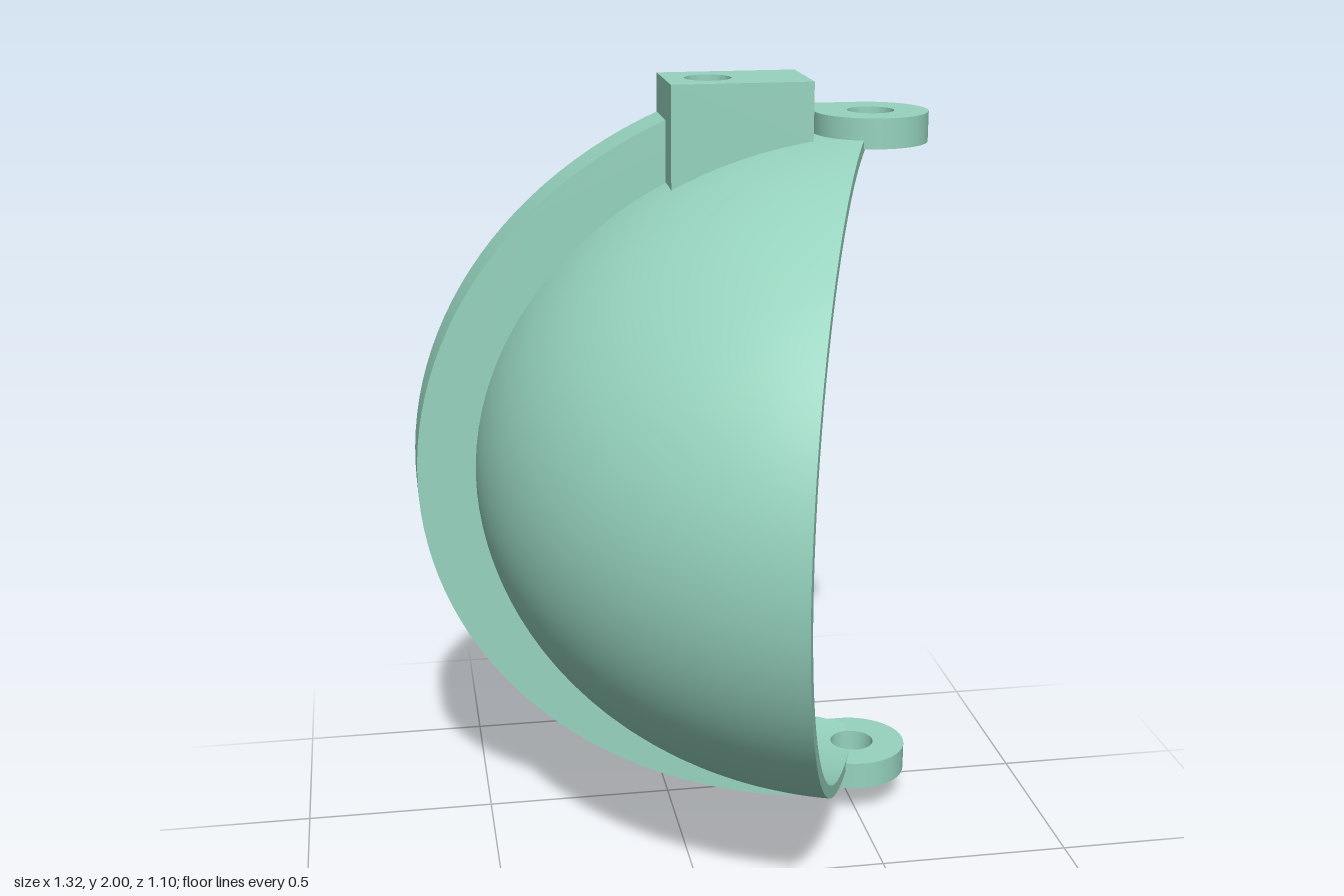
import * as THREE from 'three';
import { toCreasedNormals } from 'three/addons/utils/BufferGeometryUtils.js';

// Pivot axis (vertical), back plane and shell semi-axes
const PX = 0.51, PZ = -0.41, BACK = 0.145, FRONT_ANGLE = THREE.MathUtils.degToRad(70);
const INNER = { r: 0.98, h: 0.84 }, OUTER = { r: 1.02, h: 0.87 };
const HOLE = { x: 0.1, z: -0.435, r: 0.059 };
const ROWS = 60, COLS = 64, POLE = Math.asin(0.06 / INNER.r);
const PATCH = { i0: 5, i1: 9, j0: 5, j1: 19 };

const backAngle = (r) => -Math.asin(Math.min(1, BACK / r));
const theta = (i) => POLE + (Math.PI - 2 * POLE) * i / ROWS;

// Point on an ellipsoid sheet: th from the top pole, t from back plane to front rim
function shellPoint(s, th, t) {
  const r = s.r * Math.sin(th);
  const a = THREE.MathUtils.lerp(backAngle(r), FRONT_ANGLE, t);
  return [PX - r * Math.cos(a), 1 + s.h * Math.cos(th), PZ + r * Math.sin(a)];
}

// Height of the upper half of an ellipsoid above a plan position
function heightAt(s, x, z) {
  const d = Math.hypot(x - PX, z - PZ) / s.r;
  return 1 + s.h * Math.sqrt(Math.max(0, 1 - d * d));
}

function fromPoints(pos, index) {
  const g = new THREE.BufferGeometry();
  g.setAttribute('position', new THREE.Float32BufferAttribute(pos, 3));
  g.setIndex(index);
  g.computeVertexNormals();
  return g;
}

// Curved sheet, left open where the bolt hole passes
function sheet(s, outward) {
  const pos = [], index = [], w = COLS + 1;
  for (let i = 0; i <= ROWS; i++)
    for (let j = 0; j <= COLS; j++) pos.push(...shellPoint(s, theta(i), j / COLS));
  for (let i = 0; i < ROWS; i++)
    for (let j = 0; j < COLS; j++) {
      if (i >= PATCH.i0 && i < PATCH.i1 && j >= PATCH.j0 && j < PATCH.j1) continue;
      const a = i * w + j, b = a + 1, c = a + w, d = c + 1;
      if (outward) index.push(a, c, b, b, c, d);
      else index.push(a, b, c, b, d, c);
    }
  return fromPoints(pos, index);
}

// Inner sheet piece around the bolt hole
function holePatch() {
  const { i0, i1, j0, j1 } = PATCH, pts = [];
  for (let j = j0; j < j1; j++) pts.push([j, i0]);
  for (let i = i0; i < i1; i++) pts.push([j1, i]);
  for (let j = j1; j > j0; j--) pts.push([j, i1]);
  for (let i = i1; i > i0; i--) pts.push([j0, i]);
  const shape = new THREE.Shape(pts.map(([j, i]) => new THREE.Vector2(j / COLS, theta(i))));
  const ring = [];
  for (let k = 0; k < 32; k++) {
    const a = k / 32 * Math.PI * 2;
    const dx = PX - HOLE.x - HOLE.r * Math.cos(a), dz = HOLE.z + HOLE.r * Math.sin(a) - PZ;
    const r = Math.hypot(dx, dz), b = backAngle(r);
    ring.push(new THREE.Vector2((Math.atan2(dz, dx) - b) / (FRONT_ANGLE - b), Math.asin(r / INNER.r)));
  }
  shape.holes.push(new THREE.Path(ring));
  const g = new THREE.ShapeGeometry(shape), p = g.attributes.position, n = g.attributes.normal;
  for (let k = 0; k < p.count; k++) {
    const v = new THREE.Vector3(...shellPoint(INNER, p.getY(k), p.getX(k)));
    p.setXYZ(k, v.x, v.y, v.z);
    const m = new THREE.Vector3((PX - v.x) / INNER.r ** 2, (1 - v.y) / INNER.h ** 2, (PZ - v.z) / INNER.r ** 2).normalize();
    n.setXYZ(k, m.x, m.y, m.z);
  }
  // Wind the triangles to agree with the inward normals
  const id = g.index.array, at = (k) => new THREE.Vector3().fromBufferAttribute(p, k);
  for (let k = 0; k < id.length; k += 3) {
    const a = at(id[k]), f = at(id[k + 1]).sub(a).cross(at(id[k + 2]).sub(a));
    if (f.dot(new THREE.Vector3().fromBufferAttribute(n, id[k])) < 0)
      [id[k + 1], id[k + 2]] = [id[k + 2], id[k + 1]];
  }
  return g;
}

// Flat edge joining the inner and outer sheets
function rim(t) {
  const pos = [], index = [];
  for (let i = 0; i <= ROWS; i++) {
    pos.push(...shellPoint(INNER, theta(i), t), ...shellPoint(OUTER, theta(i), t));
    const a = 2 * i;
    if (i < ROWS) index.push(...(t ? [a, a + 2, a + 1, a + 1, a + 2, a + 3] : [a, a + 1, a + 2, a + 1, a + 3, a + 2]));
  }
  return fromPoints(pos, index);
}

// Extrude a plan shape (x, -z) upwards from y0 to y1
function slab(shape, y0, y1) {
  const g = new THREE.ExtrudeGeometry(shape, { depth: y1 - y0, bevelEnabled: false, curveSegments: 24 });
  return g.rotateX(-Math.PI / 2).translate(0, y0, 0);
}

function roundHole(x, z, r) {
  const path = new THREE.Path();
  path.absarc(x, -z, r, 0, Math.PI * 2, true);
  return path;
}

export function createModel() {
  const group = new THREE.Group();
  const mint = new THREE.MeshStandardMaterial({ color: 0x96d3be, side: THREE.DoubleSide });
  mint.name = 'mint';
  const add = (name, geometry) => {
    const mesh = new THREE.Mesh(geometry, mint);
    mesh.name = name;
    group.add(mesh);
  };

  // Domed shell
  add('outerShell', sheet(OUTER, true));
  add('innerShell', sheet(INNER, false));
  add('innerShellHoleSurround', holePatch());
  add('frontRim', rim(1));
  add('backRim', rim(0));

  // Crescent flange along the back
  const endX = 0.345, arc = (rx, ry) => {
    const a0 = Math.acos((PX - endX) / rx), pts = [];
    for (let k = 0; k <= 64; k++) {
      const a = -a0 + 2 * a0 * k / 64;
      pts.push(new THREE.Vector2(PX - rx * Math.cos(a), 1 + ry * Math.sin(a)));
    }
    return pts;
  };
  const crescent = new THREE.Shape([...arc(1.17, 1.008), ...arc(1.005, 0.858).reverse()]);
  const flange = new THREE.ExtrudeGeometry(crescent, { depth: BACK, bevelEnabled: false });
  add('backFlange', toCreasedNormals(flange.translate(0, 0, PZ - BACK), 0.5));

  // Pivot ears, top and bottom
  const ear = new THREE.Shape();
  ear.moveTo(endX, -PZ);
  ear.lineTo(endX, -PZ + BACK);
  ear.lineTo(PX, -PZ + BACK);
  ear.absarc(PX, -PZ, BACK, Math.PI / 2, -Math.PI, true);
  ear.closePath();
  ear.holes.push(roundHole(PX, PZ, 0.059));
  add('topEar', toCreasedNormals(slab(ear, 1.84, 1.915), 0.5));
  add('bottomEar', toCreasedNormals(slab(ear, 0.087, 0.162), 0.5));

  // Bolt block on top, its underside following the shell
  const plan = new THREE.Shape([[-0.01, 0.32], [endX, 0.32], [endX, 0.555], [-0.01, 0.555]]
    .map(([x, y]) => new THREE.Vector2(x, y)));
  plan.holes.push(roundHole(HOLE.x, HOLE.z, HOLE.r));
  const block = slab(plan, 1, 2), bp = block.attributes.position;
  for (let k = 0; k < bp.count; k++)
    if (bp.getY(k) < 1.5) bp.setY(k, heightAt(OUTER, bp.getX(k), bp.getZ(k)));
  add('boltBlock', toCreasedNormals(block, 0.5));

  // Bolt hole wall through the shell
  const wall = new THREE.CylinderGeometry(HOLE.r, HOLE.r, 1, 32, 1, true);
  wall.translate(HOLE.x, 0, HOLE.z);
  const wp = wall.attributes.position;
  for (let k = 0; k < wp.count; k++)
    wp.setY(k, heightAt(wp.getY(k) > 0 ? OUTER : INNER, wp.getX(k), wp.getZ(k)));
  add('boltHoleWall', wall);

  return group;
}
